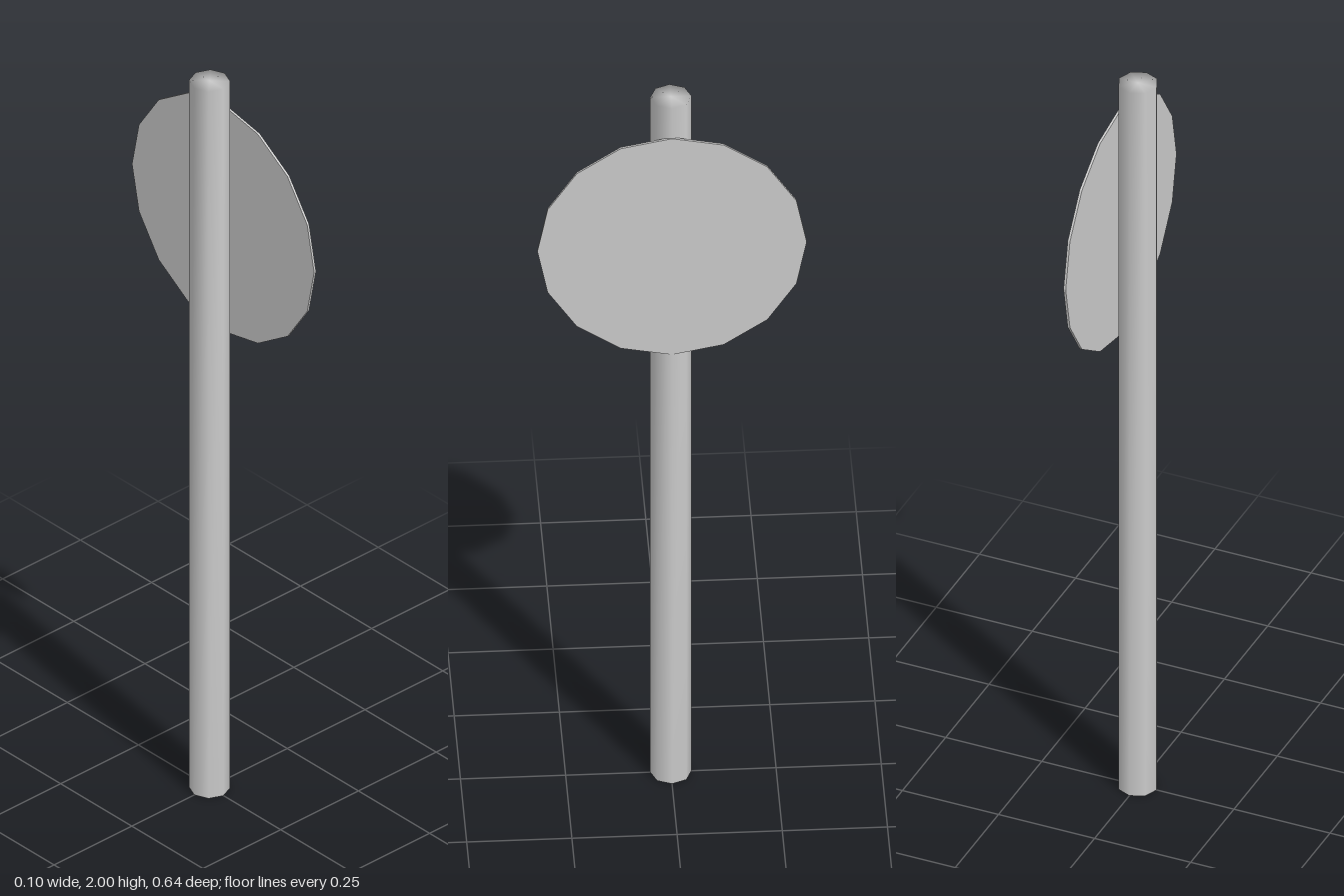
import * as THREE from 'three';
import { mergeVertices } from 'three/addons/utils/BufferGeometryUtils.js';

const POLE_RADIUS = 0.049;
const SIGN_RADIUS = 0.32;
const SIGN_THICKNESS = 0.006;

// Welds a geometry so that its shading runs smoothly over every edge
function smoothed(geometry) {
  geometry.deleteAttribute('uv');
  geometry.deleteAttribute('normal');
  const welded = mergeVertices(geometry, 1e-4);
  welded.computeVertexNormals();
  return welded;
}

export function createModel() {
  const model = new THREE.Group();
  model.name = 'roadSign';

  // Eight-sided pole, smooth shaded over the caps
  const pole = new THREE.Mesh(
    smoothed(new THREE.CylinderGeometry(POLE_RADIUS, POLE_RADIUS, 2, 8)),
    new THREE.MeshStandardMaterial({ color: 0xcccccc })
  );
  pole.name = 'pole';
  pole.position.y = 1;
  model.add(pole);

  // Thin sixteen-sided disc set into the left side of the pole
  const disc = new THREE.Mesh(
    new THREE.CylinderGeometry(SIGN_RADIUS, SIGN_RADIUS, SIGN_THICKNESS, 16),
    new THREE.MeshStandardMaterial({ color: 0xcccccc, flatShading: true })
  );
  disc.name = 'signDisc';
  disc.rotation.z = -Math.PI / 2;
  disc.position.set(POLE_RADIUS - SIGN_THICKNESS / 2 + 0.0005, 1.592, 0);
  model.add(disc);

  return model;
}
